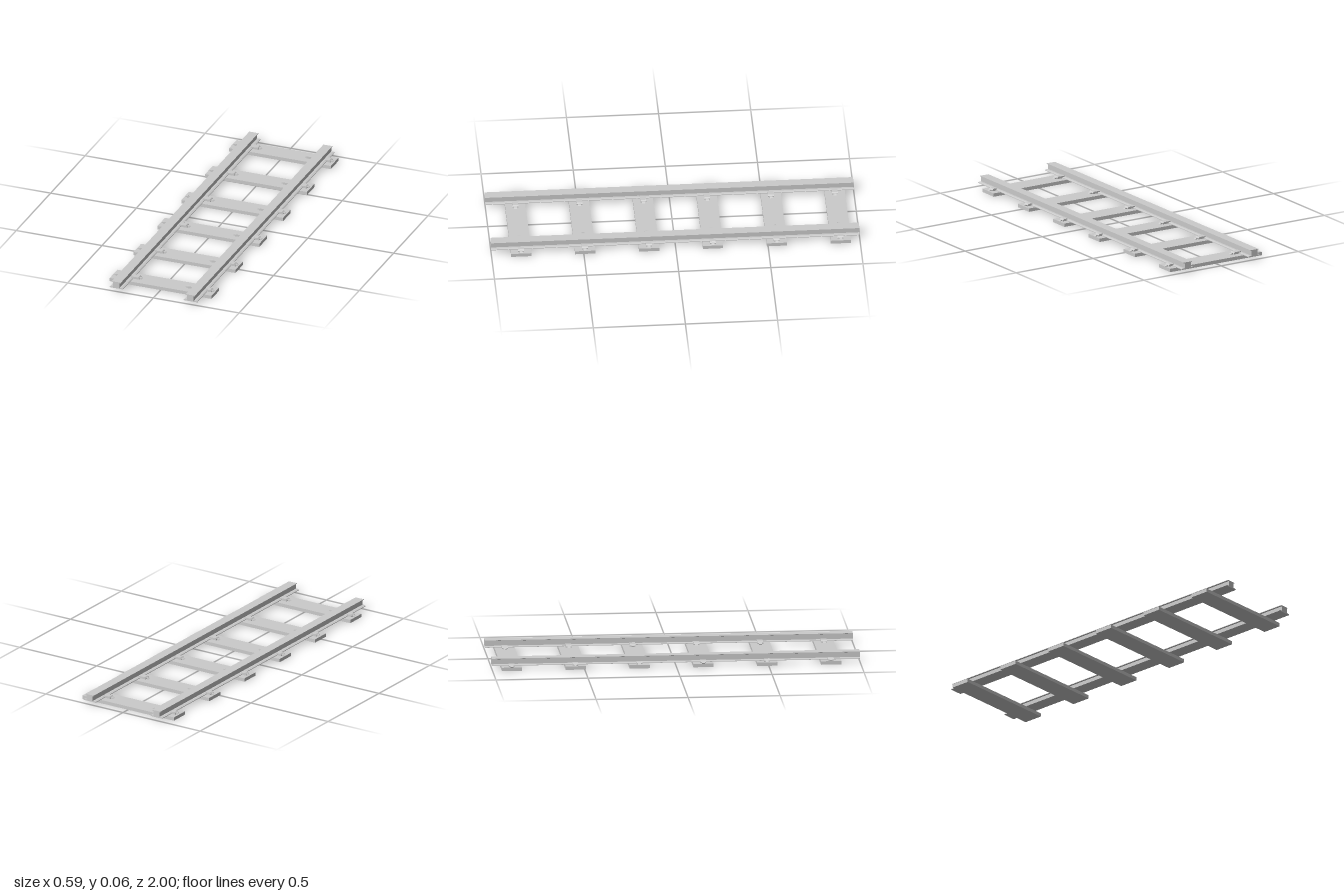
import * as THREE from 'three';

const material = new THREE.MeshStandardMaterial({ color: 0xcccccc, flatShading: true });

const SLEEPER_TOP = 0.019, FOOT_TOP = 0.025, RAIL_TOP = 0.057;
const RAIL_X = 0.216;

// Extrudes an x-y outline along z, centred on z = 0
function extrude(name, points, depth) {
  const shape = new THREE.Shape(points.map(([x, y]) => new THREE.Vector2(x, y)));
  const geometry = new THREE.ExtrudeGeometry(shape, { depth, bevelEnabled: false });
  geometry.translate(0, 0, -depth / 2);
  const mesh = new THREE.Mesh(geometry, material);
  mesh.name = name;
  return mesh;
}

// Rail section: wide foot, thick web, thin overhanging head
function createRail(x) {
  const half = [
    [0.039, SLEEPER_TOP], [0.039, 0.022], [0.03, FOOT_TOP], [0.0195, FOOT_TOP],
    [0.0195, 0.052], [0.0265, 0.054], [0.0265, RAIL_TOP],
  ];
  const mirrored = half.map(([px, y]) => [-px, y]).reverse();
  const rail = extrude('rail', [...half, ...mirrored], 2);
  rail.position.x = x;
  return rail;
}

// Clip holding the rail foot; x values are distances from the track centre
function createClip(side, name, inner) {
  const clip = new THREE.Group();
  clip.name = name;
  const outline = inner
    ? [[0.188, FOOT_TOP], [0.188, 0.031], [0.147, 0.031], [0.141, 0.025], [0.141, 0.018], [0.176, 0.018], [0.176, FOOT_TOP]]
    : [[0.249, FOOT_TOP], [0.25, 0.031], [0.272, 0.031], [0.28, 0.025], [0.28, 0.018], [0.256, 0.018], [0.256, FOOT_TOP]];
  const tip = inner
    ? [[0.142, 0.026], [0.133, 0.025], [0.126, 0.021], [0.131, 0.0185], [0.142, 0.0185]]
    : [[0.279, 0.026], [0.286, 0.025], [0.293, 0.021], [0.289, 0.0185], [0.279, 0.0185]];
  const flip = (points) => points.map(([x, y]) => [x * side, y]);
  clip.add(extrude('clipBody', flip(outline), 0.032));
  clip.add(extrude('clipTip', flip(tip), 0.016));
  return clip;
}

export function createModel() {
  const track = new THREE.Group();
  track.name = 'railwayTrack';

  for (const side of [-1, 1]) track.add(createRail(side * RAIL_X));

  // Evenly spaced sleepers, each with four clips
  for (let i = 0; i < 6; i++) {
    const tie = new THREE.Group();
    tie.name = 'sleeperAssembly';
    tie.position.z = -0.895 + i * 0.3468;

    const sleeper = new THREE.Mesh(new THREE.BoxGeometry(0.594, SLEEPER_TOP, 0.11), material);
    sleeper.name = 'sleeper';
    sleeper.position.y = SLEEPER_TOP / 2;
    tie.add(sleeper);

    for (const side of [-1, 1]) {
      tie.add(createClip(side, 'innerClip', true));
      tie.add(createClip(side, 'outerClip', false));
    }
    track.add(tie);
  }
  return track;
}
